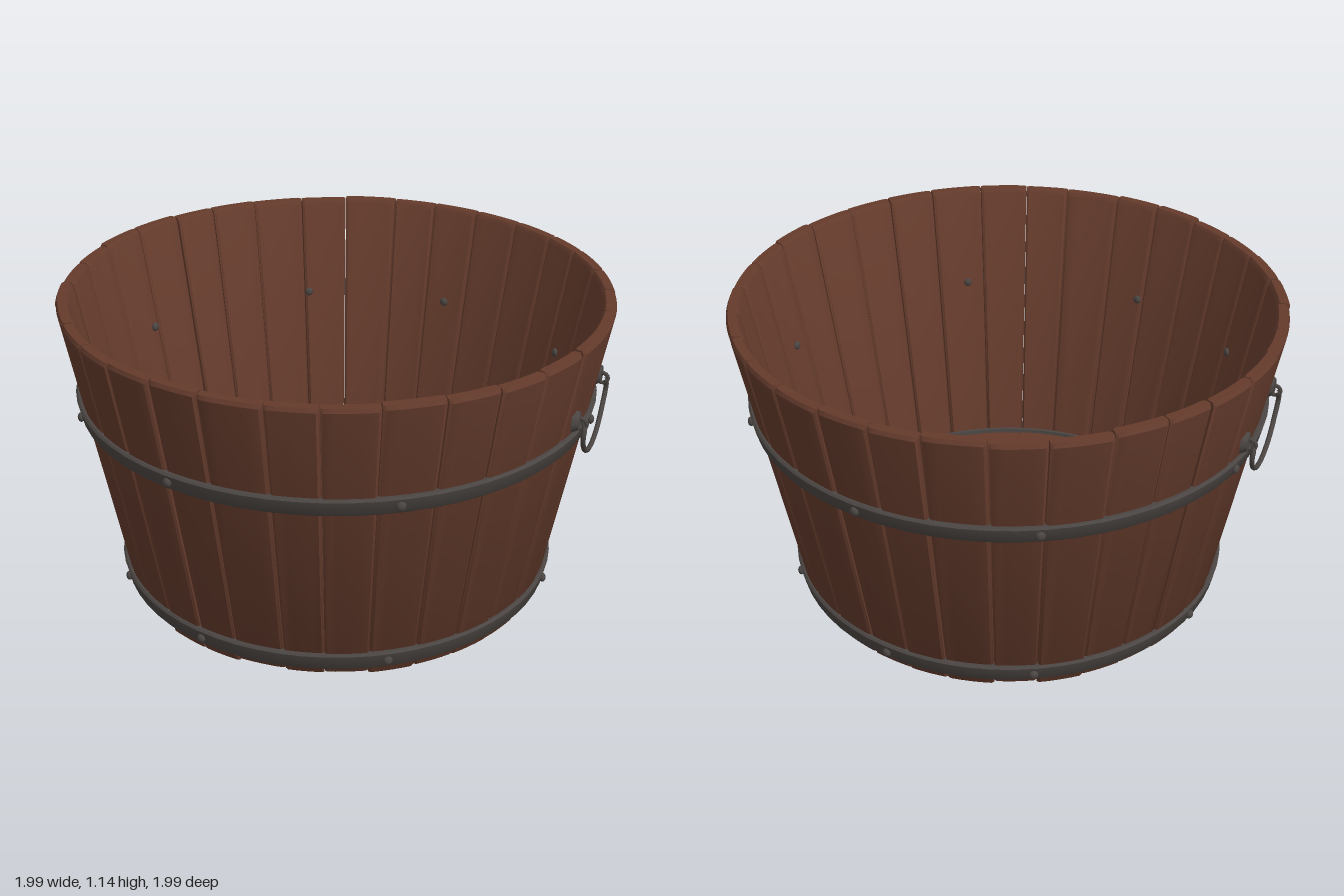
import * as THREE from 'three';
import { toCreasedNormals } from 'three/addons/utils/BufferGeometryUtils.js';

const STAVES = 32, TOP = 1.137, THICK = 0.05;
const wallRadius = (y) => 0.788 + 0.186 * y; // outer face of the tub wall

export function createModel() {
  const wood = new THREE.MeshStandardMaterial({ color: 0x643b2c });
  wood.name = 'brown wood';
  const iron = new THREE.MeshStandardMaterial({ color: 0x4a4542 });
  iron.name = 'dark iron';

  let seed = 7;
  const jitter = (amount) => {
    seed = (seed * 16807) % 2147483647;
    return (seed / 2147483647 * 2 - 1) * amount;
  };

  const root = new THREE.Group();
  root.name = 'woodenTub';
  const add = (parent, name, geometry, material) => {
    const mesh = new THREE.Mesh(geometry, material);
    mesh.name = name;
    parent.add(mesh);
    return mesh;
  };
  const group = (name, parent = root) => {
    const g = new THREE.Group();
    g.name = name;
    parent.add(g);
    return g;
  };

  // One tapered stave: a box bent around the tub, with eased edges
  function staveGeometry(a0, a1, bottom, top, push) {
    const geo = new THREE.BoxGeometry(2, 3, 2, 6, 3, 1);
    const cols = [-1, -0.9, -0.5, 0, 0.5, 0.9, 1];
    const rows = [bottom, bottom + 0.012, top - 0.014, top];
    const p = geo.attributes.position;
    for (let i = 0; i < p.count; i++) {
      const col = Math.round((p.getX(i) + 1) * 3);
      const row = Math.round(p.getY(i) + 1.5);
      const outer = p.getZ(i) > 0;
      const y = rows[row];
      const ease = (row === 0 || row === 3 ? 0.009 : 0) + (col === 0 || col === 6 ? 0.006 : 0);
      const r = wallRadius(y) + push + (outer ? -ease : ease - THICK);
      const a = (a0 + a1) / 2 + cols[col] * (a1 - a0) / 2;
      p.setXYZ(i, r * Math.sin(a), y, r * Math.cos(a));
    }
    return toCreasedNormals(geo, 0.6);
  }

  // Ring of staves
  const staves = group('staves');
  const seams = Array.from({ length: STAVES }, (_, i) => (i - 0.5) / STAVES * Math.PI * 2 + jitter(0.015));
  seams.push(seams[0] + Math.PI * 2);
  for (let i = 0; i < STAVES; i++) {
    const bottom = i % 7 === 3 ? 0 : 0.01 + jitter(0.005);
    add(staves, 'stave', staveGeometry(seams[i] + 0.002, seams[i + 1] - 0.002,
      bottom, TOP + jitter(0.004), jitter(0.004)), wood);
  }

  // Floor planks: strips of a disc running front to back
  const floor = group('floor');
  const R = 0.75;
  const edges = [-R, -0.57, -0.4, -0.24, 0, 0.21, 0.385, 0.57, R];
  for (let i = 0; i < edges.length - 1; i++) {
    const gap = 0.002;
    const x0 = edges[i] + gap, x1 = edges[i + 1] - gap;
    const xs = Array.from({ length: 9 }, (_, k) => x0 + (x1 - x0) * k / 8);
    const half = (x) => Math.sqrt(R * R - x * x);
    const shape = new THREE.Shape([
      ...xs.map((x) => new THREE.Vector2(x, -half(x))),
      ...xs.slice().reverse().map((x) => new THREE.Vector2(x, half(x))),
    ]);
    const geo = new THREE.ExtrudeGeometry(shape, { depth: 0.04, bevelEnabled: false });
    geo.rotateX(-Math.PI / 2);
    add(floor, 'floorPlank', geo, wood).position.y = 0.058 + jitter(0.002);
  }

  // Iron hoops: closed bands that follow the wall's slope
  function hoop(name, y0, y1, r0, r1, thick) {
    const c = 0.007;
    const profile = [
      [r0 - c, y0], [r0, y0 + c], [r1, y1 - c], [r1 - c, y1],
      [r1 - thick, y1], [r0 - thick, y0], [r0 - c, y0],
    ].map(([x, y]) => new THREE.Vector2(x, y));
    add(root, name, toCreasedNormals(new THREE.LatheGeometry(profile, 64), 0.6), iron);
  }
  hoop('upperHoop', 0.728, 0.792, 0.94, 0.951, 0.03);
  hoop('lowerHoop', 0.04, 0.108, 0.81, 0.822, 0.03);
  hoop('floorRing', 0.09, 0.112, 0.757, 0.76, 0.02);

  // Rivets through both hoops; the upper ones also show inside
  const rivets = group('rivets');
  const dome = new THREE.SphereGeometry(0.017, 10, 8);
  dome.scale(1, 1, 0.7);
  for (const degrees of [0, -36, -79, -117, -165, 142, 106, 58]) {
    const a = Math.PI / 2 - degrees * Math.PI / 180;
    for (const [r, y] of [[0.949, 0.76], [0.819, 0.073], [0.876, 0.76]]) {
      const rivet = add(rivets, 'rivet', dome, iron);
      rivet.position.set(r * Math.sin(a), y, r * Math.cos(a));
      rivet.rotation.y = a;
    }
  }

  // Hanging bail handle on each side
  for (const side of [1, -1]) {
    const handle = group(side > 0 ? 'leftHandle' : 'rightHandle');
    handle.rotation.y = side > 0 ? 0 : Math.PI;
    for (const s of [1, -1]) {
      const plate = add(handle, 'handlePlate', new THREE.CylinderGeometry(0.032, 0.044, 0.022, 8), iron);
      plate.rotation.z = -Math.PI / 2;
      plate.position.set(0.933, 0.845, s * 0.198);
      const eye = add(handle, 'handleEye', new THREE.TorusGeometry(0.019, 0.008, 6, 14), iron);
      eye.position.set(0.948, 0.835, s * 0.193);
    }
    const path = new THREE.CatmullRomCurve3([
      [0.952, 0.838, 0.175], [0.962, 0.822, 0.196], [0.961, 0.79, 0.205], [0.959, 0.74, 0.175],
      [0.959, 0.69, 0.105], [0.959, 0.668, 0], [0.959, 0.69, -0.105], [0.959, 0.74, -0.175],
      [0.961, 0.79, -0.205], [0.962, 0.822, -0.196], [0.952, 0.838, -0.175],
    ].map((v) => new THREE.Vector3(...v)));
    add(handle, 'handleBail', new THREE.TubeGeometry(path, 48, 0.009, 8), iron);
  }

  return root;
}
